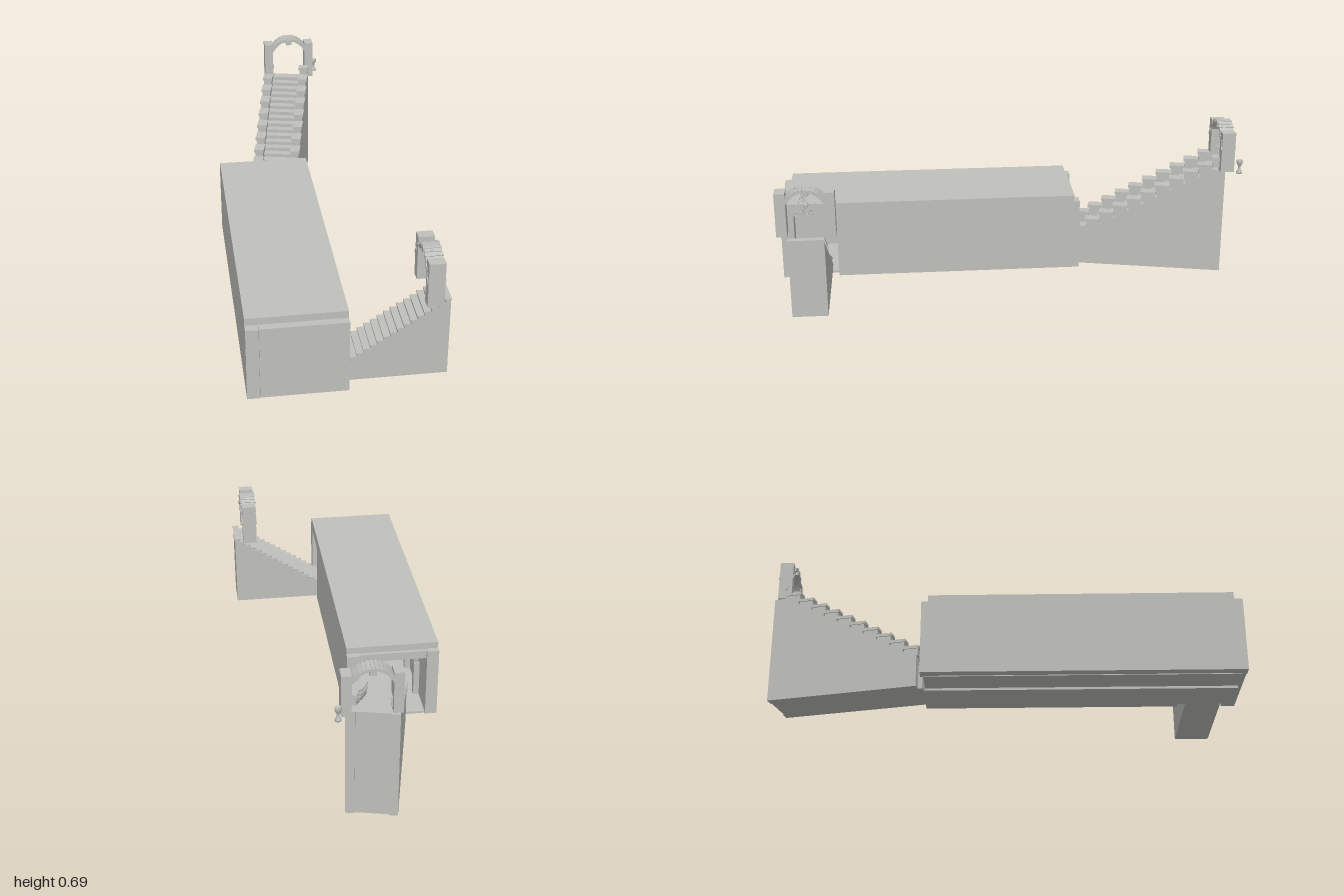
import * as THREE from 'three';

export function createModel() {
  const stone = new THREE.MeshStandardMaterial({ color: 0xbfbfbb });
  stone.name = 'grey stone';
  const model = new THREE.Group();

  const add = (parent, name, geo) => {
    const m = new THREE.Mesh(geo, stone);
    m.name = name;
    parent.add(m);
    return m;
  };
  // box given by its min and max on each axis
  const box = (parent, name, x0, x1, y0, y1, z0, z1) => {
    const m = add(parent, name, new THREE.BoxGeometry(x1 - x0, y1 - y0, z1 - z0));
    m.position.set((x0 + x1) / 2, (y0 + y1) / 2, (z0 + z1) / 2);
    return m;
  };
  const group = (name, x = 0, y = 0, z = 0, ry = 0) => {
    const g = new THREE.Group();
    g.name = name;
    g.position.set(x, y, z);
    g.rotation.y = ry;
    model.add(g);
    return g;
  };
  // solid stepped wall rising along +x to (end, top), extruded from z0 to z1
  const steppedWall = (parent, name, end, edge, top, run, rise, n, z0, z1) => {
    const s = new THREE.Shape();
    s.moveTo(end, 0.013);
    s.lineTo(end, top);
    for (let j = 0; j < n; j++) {
      const x = edge - run * j, y = top - rise * j;
      s.lineTo(x, y);
      s.lineTo(x, j < n - 1 ? y - rise : 0.013);
    }
    const geo = new THREE.ExtrudeGeometry(s, { depth: z1 - z0, bevelEnabled: false });
    geo.translate(0, 0, z0);
    return add(parent, name, geo);
  };
  // two pillars joined by a curved band of arch stones
  const archway = (g, inner, outer, top, spring, apex, depth) => {
    for (const s of [-1, 1]) {
      const p = box(g, 'archPillar', inner, outer, 0, top, -depth / 2, depth / 2);
      p.position.x *= s;
    }
    const half = outer - 0.006, thick = 0.014;
    const at = t => new THREE.Vector2(half * t, spring + (apex - spring) * (1 - Math.abs(t) ** 2.3));
    const s = new THREE.Shape();
    const N = 28;
    for (let i = 0; i <= N; i++) {
      const p = at(-1 + 2 * i / N);
      if (i) s.lineTo(p.x, p.y - 0.003); else s.moveTo(p.x, p.y - 0.003);
    }
    for (let i = N; i >= 0; i--) {
      const p = at(-1 + 2 * i / N);
      s.lineTo(p.x * 0.9, p.y - thick);
    }
    const band = new THREE.ExtrudeGeometry(s, { depth: depth * 0.9, bevelEnabled: false });
    band.translate(0, 0, -depth * 0.45);
    add(g, 'archBand', band);
    const count = 15;
    for (let i = 0; i < count; i++) {
      const a = at(-1 + 2 * i / count), b = at(-1 + 2 * (i + 1) / count);
      const m = add(g, 'archStone', new THREE.BoxGeometry(a.distanceTo(b) * 0.93, 0.011, depth * (i % 2 ? 1.04 : 1.12)));
      m.position.set((a.x + b.x) / 2, (a.y + b.y) / 2 - 0.006, 0);
      m.rotation.z = Math.atan2(b.y - a.y, b.x - a.x);
    }
    box(g, 'keystone', -0.013, 0.013, apex - 0.03, apex - 0.004, -depth * 0.54, depth * 0.54);
  };

  // Long hall
  const hall = group('hall');
  box(hall, 'roof', -0.396, -0.004, 0.326, 0.356, -0.285, 0.965);
  box(hall, 'rightSideWall', -0.396, -0.345, 0.013, 0.326, -0.3, 0.965);
  box(hall, 'leftSideWall', -0.05, -0.004, 0.013, 0.326, -0.3, 0.755);
  box(hall, 'doorLintel', -0.05, -0.004, 0.3, 0.326, 0.755, 0.94);
  box(hall, 'doorJamb', -0.05, -0.004, 0.013, 0.326, 0.94, 0.965);
  box(hall, 'frontWall', -0.345, -0.004, 0.013, 0.326, 0.965, 0.997);
  box(hall, 'frontCornerStrip', -0.396, -0.346, 0.013, 0.326, 0.965, 1.0);
  box(hall, 'floor', -0.357, -0.04, 0.01, 0.02, -0.3, 0.98);
  box(hall, 'floorChannel', -0.234, -0.168, 0, 0.013, -0.3, 0.98);
  box(hall, 'backLintel', -0.345, -0.05, 0.29, 0.326, -0.3, -0.27);
  for (const x of [-0.396, -0.055])
    box(hall, 'backPost', x, x + 0.051, 0.013, 0.328, -0.312, -0.28);
  // vault ribs inside the hall
  for (let i = 0; i < 5; i++) {
    const z = -0.15 + i * 0.21;
    const rib = add(hall, 'vaultRib', new THREE.TorusGeometry(0.135, 0.012, 6, 20, Math.PI));
    rib.position.set(-0.198, 0.175, z);
    for (const x of [-0.345, -0.075])
      box(hall, 'ribColumn', x, x + 0.025, 0.02, 0.18, z - 0.015, z + 0.015);
  }

  // Side stair, rising from the hall door toward +x
  const side = group('sideStair', 0, 0, 0.86);
  const run = 0.0258, rise = 0.0168;
  steppedWall(side, 'sideStairBody', 0.392, 0.371, 0.349, run, rise, 20, -0.074, 0.074);
  for (let j = 0; j < 20; j++) {
    const x = 0.369 - run * j, y = 0.355 - rise * j;
    box(side, 'sideTread', x - 0.002, x + run, y - 0.007, y, -0.075, 0.075);
  }
  const sideArch = group('sideArch', 0.322, 0.355, 0.86, Math.PI / 2);
  archway(sideArch, 0.077, 0.121, 0.188, 0.105, 0.202, 0.064);

  // Vine hanging under the side arch
  let seed = 7;
  const rnd = () => (seed = (seed * 16807) % 2147483647) / 2147483647;
  const stem = new THREE.CatmullRomCurve3([[0, 0.19], [-0.012, 0.165], [0.012, 0.13], [-0.01, 0.1], [0.004, 0.08]]
    .map(p => new THREE.Vector3(p[0], p[1], 0)));
  add(sideArch, 'vineStem', new THREE.TubeGeometry(stem, 20, 0.002, 5));
  for (let i = 0; i < 18; i++) {
    const p = stem.getPoint(i / 17);
    const leaf = add(sideArch, 'vineLeaf', new THREE.OctahedronGeometry(0.008));
    leaf.scale.set(1, 0.6, 0.4);
    leaf.position.set(p.x + (rnd() - 0.5) * 0.07, p.y + (rnd() - 0.5) * 0.015, (rnd() - 0.5) * 0.02);
    leaf.rotation.set(rnd() * 3, rnd() * 3, rnd() * 3);
  }

  // Back stair, angled away from the hall; local +x is uphill
  const back = group('backStair', -0.009, 0, -0.954, 1.346);
  steppedWall(back, 'backStairBody', -0.006, -0.043, 0.481, 0.03, 0.0175, 22, -0.07, 0.07);
  for (let j = 0; j < 22; j++) {
    const x = -0.048 - 0.03 * j, y = 0.487 - 0.0175 * j;
    box(back, 'backTread', x, j ? x + 0.034 : -0.004, y - 0.007, y, -0.07, 0.07);
  }
  for (const s of [-1, 1]) {
    const z0 = s < 0 ? -0.103 : 0.066, z1 = z0 + 0.037;
    // the top block stops short so that the arch pillar stands clear
    steppedWall(back, 'railWall', 0, -0.11, 0.487, 0.0605, 0.035, 10, z0, z1);
    for (let j = 0; j < 11; j++) {
      const x = -0.055 - 0.0605 * j, y = 0.545 - 0.035 * j;
      const end = j ? x + 0.06 : -0.025;
      box(back, 'railBlock', x, end, y - 0.045, y - 0.01, z0, z1);
      box(back, 'railCap', x - 0.005, end, y - 0.013, y, z0 - 0.004, z1 + 0.004);
    }
  }
  const backArch = group('backArch', -0.006, 0.487, -0.934);
  archway(backArch, 0.078, 0.117, 0.175, 0.105, 0.201, 0.058);

  // Brazier beside the back arch
  const profile = [[0, 0], [0.013, 0], [0.013, 0.006], [0.008, 0.012], [0.005, 0.025], [0.006, 0.034],
    [0.012, 0.042], [0.014, 0.056], [0.011, 0.06], [0, 0.052]].map(p => new THREE.Vector2(p[0], p[1]));
  const brazier = add(model, 'brazier', new THREE.LatheGeometry(profile, 10));
  brazier.position.set(0.125, 0.487, -0.982);

  return model;
}
